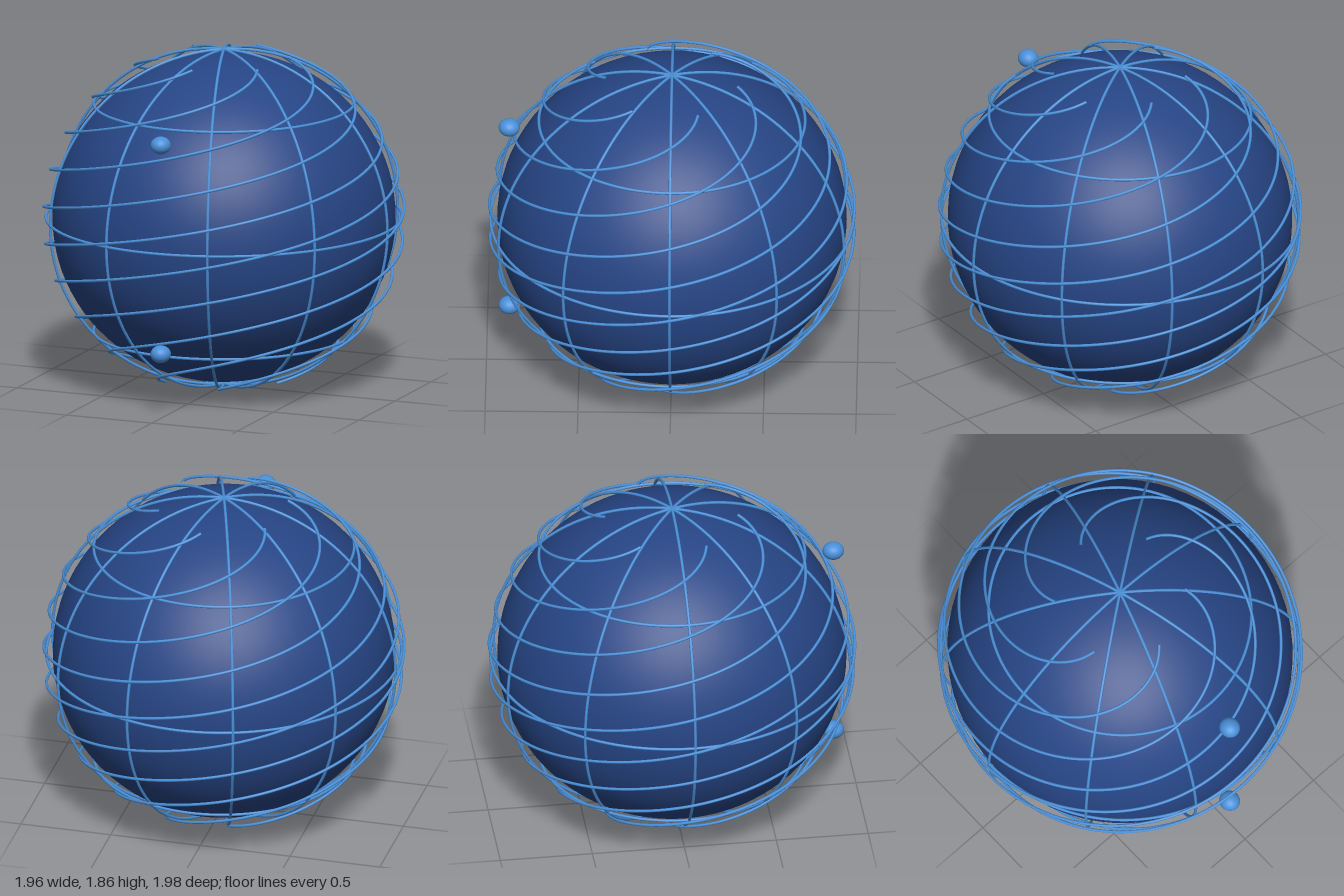
import * as THREE from 'three';

const CENTRE_Y = 0.937;
const CAGE = new THREE.Vector3(0.956, 0.924, 0.979);   // semi-axes of the meridian and latitude wires
const COIL = new THREE.Vector3(0.971, 0.94, 0.988);    // semi-axes of the spiral wires
const WIRE = 0.008;

// Point on an ellipsoid: s is the height from -1 to 1, a the angle around y
function onEllipsoid(axes, s, a) {
  const r = Math.sqrt(Math.max(0, 1 - s * s));
  return new THREE.Vector3(r * Math.cos(a) * axes.x, s * axes.y, r * Math.sin(a) * axes.z);
}

// Round wire through the points given by a rule over t = 0..1
function wire(rule, count, closed) {
  const points = [];
  for (let i = 0; i < count; i++) points.push(rule(i / (closed ? count : count - 1)));
  const curve = new THREE.CatmullRomCurve3(points, closed);
  return new THREE.TubeGeometry(curve, count * 2, WIRE, 8, closed);
}

export function createModel() {
  const model = new THREE.Group();
  model.name = 'wireWrappedGlobe';
  const navy = new THREE.MeshStandardMaterial({ color: 0x264585 });
  navy.name = 'navy blue';
  const sky = new THREE.MeshStandardMaterial({ color: 0x4a90d9 });
  sky.name = 'sky blue';

  const add = (name, geometry, material, y = CENTRE_Y, z = 0) => {
    const mesh = new THREE.Mesh(geometry, material);
    mesh.name = name;
    mesh.position.set(0, y, z);
    model.add(mesh);
    return mesh;
  };

  // Slightly squashed core
  add('core', new THREE.SphereGeometry(1, 64, 48), navy).scale.set(0.922, 0.89, 0.942);

  // Five full hoops through the poles make ten meridians
  for (let i = 0; i < 5; i++) {
    const a = i * Math.PI / 5;
    add('meridian', wire((t) => {
      const p = t * Math.PI * 2;
      return new THREE.Vector3(
        Math.cos(p) * Math.cos(a) * CAGE.x, Math.sin(p) * CAGE.y, Math.cos(p) * Math.sin(a) * CAGE.z);
    }, 64, true), sky);
  }

  // Equator and two latitude rings
  for (const s of [-0.68, 0, 0.68]) {
    add('latitudeRing', wire((t) => onEllipsoid(CAGE, s, t * Math.PI * 2), 64, true), sky);
  }

  // Six spiral wires descending at an even rate
  const start = THREE.MathUtils.degToRad(36);
  for (let i = 0; i < 6; i++) {
    add('spiralWire', wire((t) =>
      onEllipsoid(COIL, 0.933 * (1 - 2 * t), start + i * Math.PI / 3 + 9 * t), 110, false), sky);
  }

  // Two beads floating in front
  for (const y of [1.514, 0.36]) {
    add('bead', new THREE.SphereGeometry(1, 24, 16), sky, y, 0.877).scale.set(0.055, 0.048, 0.058);
  }
  return model;
}
